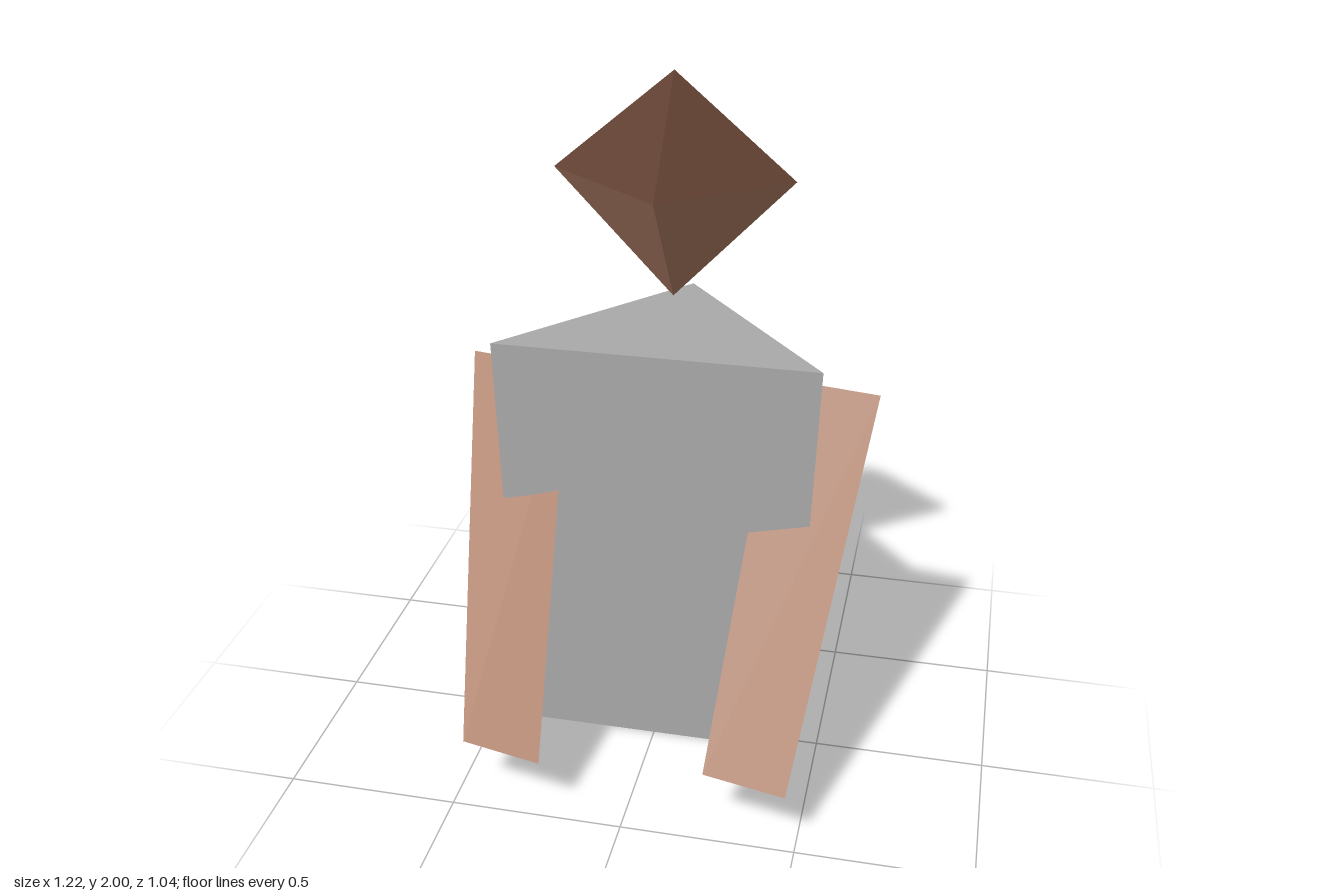
import * as THREE from 'three';

const material = (name, color, extra = {}) => {
  const m = new THREE.MeshStandardMaterial({ color, flatShading: true, ...extra });
  m.name = name;
  return m;
};

// Flat-faced geometry from corner points and triangles
function faceted(points, triangles) {
  const g = new THREE.BufferGeometry();
  g.setAttribute('position', new THREE.Float32BufferAttribute(
    triangles.flat().flatMap((i) => points[i]), 3));
  g.computeVertexNormals();
  return g;
}

export function createModel() {
  const group = new THREE.Group();
  const grey = material('grey', 0xaaaaaa);
  const brown = material('dark brown', 0x613f30);
  const skin = material('skin', 0xa97a61, { side: THREE.DoubleSide });

  const add = (name, geometry, mat) => {
    const mesh = new THREE.Mesh(geometry, mat);
    mesh.name = name;
    group.add(mesh);
  };

  // Torso: triangular prism, slightly wider at the shoulders
  const ring = (halfWidth, y) => [[-halfWidth, y, 0.05], [halfWidth, y, 0.05], [0, y, -0.52]];
  add('torso', faceted([...ring(0.425, 0), ...ring(0.468, 1.27)], [
    [0, 1, 4], [0, 4, 3], [1, 2, 5], [1, 5, 4], [2, 0, 3], [2, 3, 5],
    [3, 4, 5], [0, 2, 1],
  ]), grey);

  // Head: eight-sided diamond; its two lower front faces are the bare face
  const z = -0.215;
  const diamond = [
    [0, 1.71, z + 0.27], [0.343, 1.71, z], [0, 1.71, z - 0.27], [-0.343, 1.71, z],
    [0, 2, z], [0, 1.35, z],
  ];
  const hair = [];
  const face = [];
  for (let i = 0; i < 4; i++) {
    const next = (i + 1) % 4;
    hair.push([i, next, 4]);
    (i === 0 || i === 3 ? face : hair).push([next, i, 5]);
  }
  add('hair', faceted(diamond, hair), brown);
  add('face', faceted(diamond, face), skin);

  // Arms: thin tapered sheets reaching forward, both skewed the same way
  const arm = (corners) => faceted(corners, [[0, 1, 2], [0, 2, 3]]);
  add('rightArm', arm([
    [-0.47, 0.2, 0.465], [-0.23, 0.2, 0.517], [-0.308, 1.115, -0.17], [-0.611, 1.115, -0.225],
  ]), skin);
  add('leftArm', arm([
    [0.23, 0.2, 0.465], [0.47, 0.2, 0.517], [0.611, 1.115, -0.17], [0.306, 1.115, -0.225],
  ]), skin);

  return group;
}
